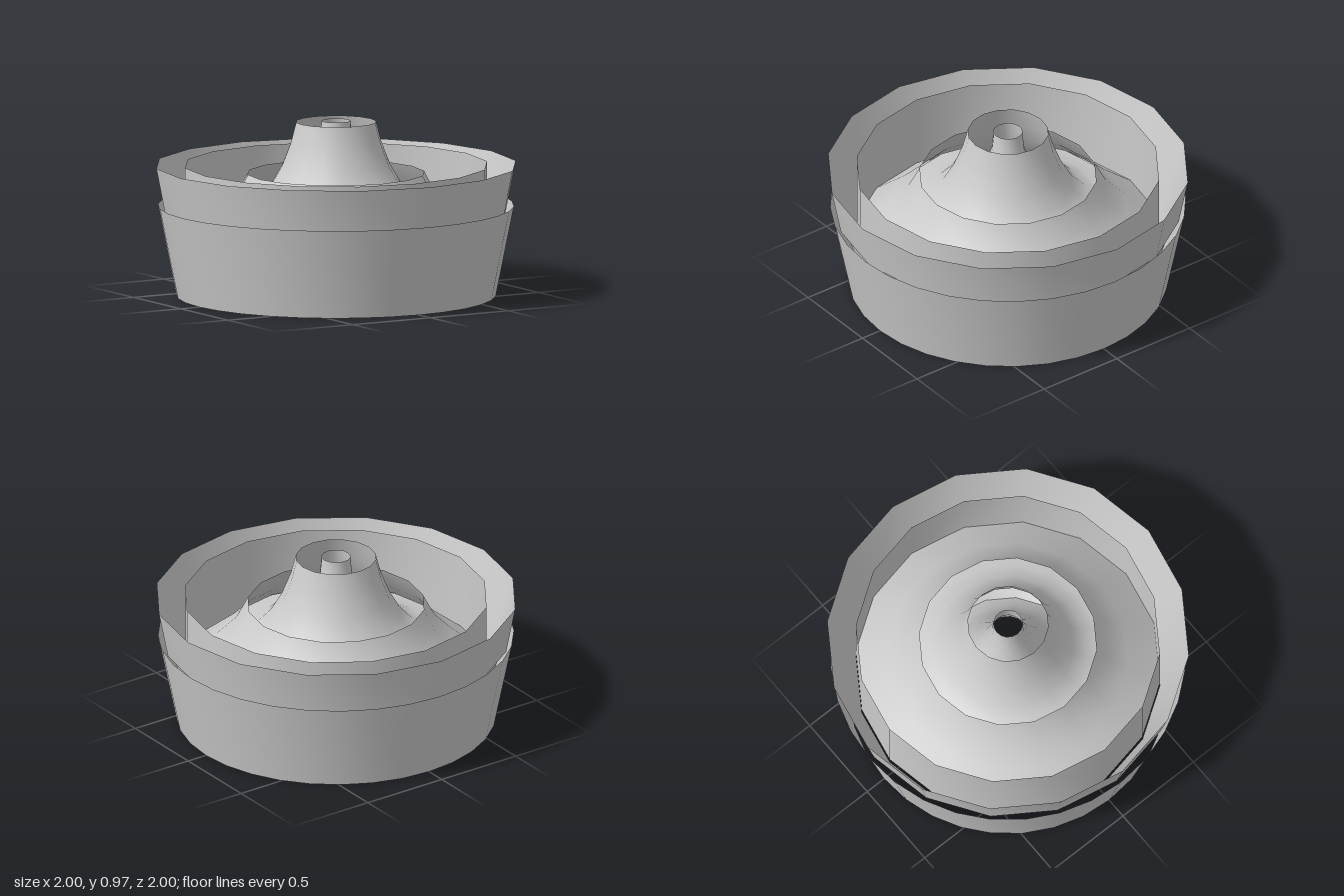
import * as THREE from 'three';
import { toCreasedNormals } from 'three/addons/utils/BufferGeometryUtils.js';

const material = new THREE.MeshStandardMaterial({ color: 0xcccccc, side: THREE.DoubleSide });

// Revolve a thin [radius, height] profile; smooth around, sharp at hard corners
function turned(name, profile, sides = 16) {
  const points = profile.map(([r, y]) => new THREE.Vector2(r, y));
  const geometry = toCreasedNormals(new THREE.LatheGeometry(points, sides), 0.8);
  const mesh = new THREE.Mesh(geometry, material);
  mesh.name = name;
  return mesh;
}

export function createModel() {
  const model = new THREE.Group();
  model.name = 'nestedRings';

  // Thin open skirt around the lower part
  model.add(turned('skirt', [[0.88, 0], [0.98, 0.5]], 32));

  // Upper band emerging from the skirt, with a straight funnel liner inside it
  model.add(turned('upperBand', [[0.949, 0.46], [1, 0.725]]));
  model.add(turned('funnelLiner', [[0.84, 0.2], [1, 0.725]]));

  // Straight sleeve standing inside the funnel
  model.add(turned('sleeve', [[0.84, 0.24], [0.84, 0.725]]));

  // Sloping deck rising from the sleeve to an open inner rim
  model.add(turned('deck', [[0.84, 0.305], [0.66, 0.45], [0.555, 0.555], [0.49, 0.68]]));

  // Flared central cone, reaching under the deck rim
  model.add(turned('centreCone', [
    [0.61, 0.49], [0.51, 0.51], [0.43, 0.545], [0.36, 0.62], [0.3, 0.725], [0.252, 0.85], [0.222, 0.965],
  ]));

  // Trumpet lining that narrows into the central tube
  model.add(turned('trumpet', [
    [0.43, 0.21], [0.37, 0.25], [0.29, 0.37], [0.21, 0.53], [0.135, 0.71], [0.09, 0.86], [0.08, 0.97],
  ]));

  // Shallow dished underside between trumpet lip and sleeve
  model.add(turned('underside', [
    [0.84, 0.3], [0.75, 0.27], [0.65, 0.3], [0.54, 0.285], [0.43, 0.21],
  ]));

  return model;
}
